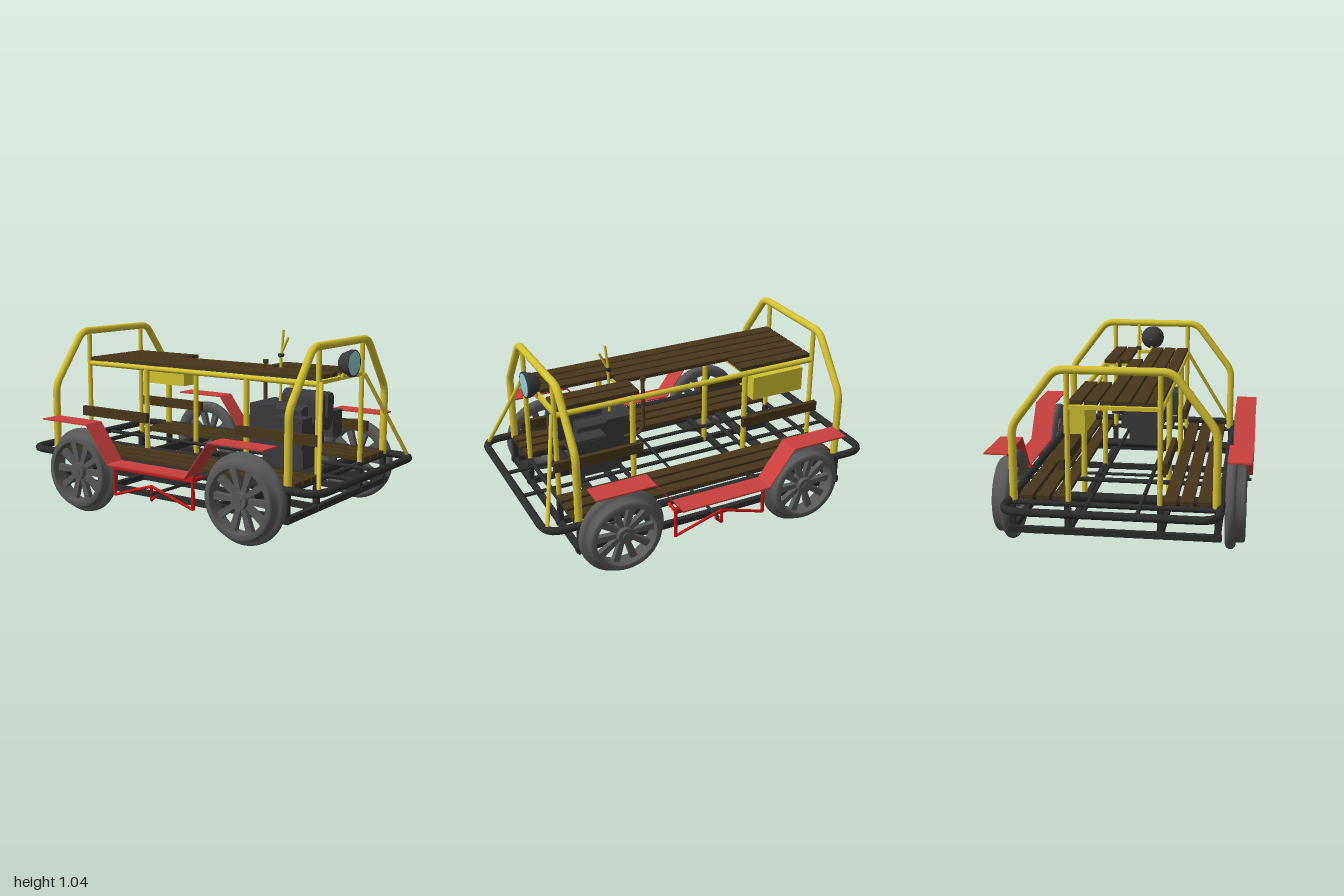
import * as THREE from 'three';

const mat = (color, side = THREE.FrontSide) => new THREE.MeshStandardMaterial({ color, side });
const yellow = mat(0xd4c230), black = mat(0x2c2c2c), wood = mat(0x46361a), red = mat(0xcc1414);
const fenderRed = mat(0xc8403c, THREE.DoubleSide), grey = mat(0x3a3a3c), steel = mat(0x585858);
const lensBlue = mat(0x8fcccc), rust = mat(0x4a3c22);
const V = (x, y, z) => new THREE.Vector3(x, y, z);

export function createModel() {
  const root = new THREE.Group();
  const add = (name, geo, m, parent = root) => {
    const mesh = new THREE.Mesh(geo, m);
    mesh.name = name;
    parent.add(mesh);
    return mesh;
  };
  // box given by its limits on each axis
  const box = (name, m, x0, x1, y0, y1, z0, z1) => {
    const g = new THREE.BoxGeometry(x1 - x0, y1 - y0, z1 - z0);
    add(name, g.translate((x0 + x1) / 2, (y0 + y1) / 2, (z0 + z1) / 2), m);
  };
  // round bar between two points
  const bar = (name, m, r, a, b) => {
    const d = b.clone().sub(a);
    const mesh = add(name, new THREE.CylinderGeometry(r, r, d.length(), 14), m);
    mesh.position.copy(a).add(b).multiplyScalar(0.5);
    mesh.quaternion.setFromUnitVectors(V(0, 1, 0), d.normalize());
  };
  // straight runs with softened corners
  const bentTube = (name, m, r, pts, bend, closed = false) => {
    const path = new THREE.CurvePath(), n = pts.length;
    const toward = (p, q) => p.clone().add(q.clone().sub(p).setLength(bend));
    let last = closed ? toward(pts[0], pts[1]) : pts[0];
    for (let i = 1; i < (closed ? n + 1 : n - 1); i++) {
      const p = pts[i % n], a = toward(p, pts[(i - 1) % n]), b = toward(p, pts[(i + 1) % n]);
      path.add(new THREE.LineCurve3(last, a));
      path.add(new THREE.QuadraticBezierCurve3(a, p, b));
      last = b;
    }
    if (!closed) path.add(new THREE.LineCurve3(last, pts[n - 1]));
    add(name, new THREE.TubeGeometry(path, 240, r, 14, closed), m);
  };

  // bumper ring and floor frame
  bentTube('bumperRing', black, 0.021, [V(-0.542, 0.31, -0.979), V(0.542, 0.31, -0.979),
    V(0.542, 0.31, 0.979), V(-0.542, 0.31, 0.979)], 0.1, true);
  for (const x of [-0.137, 0.132]) bar('floorRail', black, 0.011, V(x, 0.305, -0.98), V(x, 0.305, 0.98));
  for (const z of [-0.8, -0.38, 0.36, 0.8]) {
    bar('floorCrossbar', black, 0.013, V(-0.54, 0.3, z), V(0.54, 0.3, z));
    box('lowerCrossbar', black, -0.55, 0.55, 0.137, 0.17, z - 0.014, z + 0.014);
  }
  bar('brakeRod', black, 0.009, V(-0.68, 0.2, 0.045), V(0.65, 0.2, 0.045));
  for (const x of [-0.528, -0.238, 0.238, 0.528]) {
    box('lowerRail', black, x - 0.015, x + 0.015, 0.14, 0.172, -0.82, 0.82);
    for (const z of [-0.795, 0.795]) box('framePost', black, x - 0.016, x + 0.016, 0.15, 0.31, z - 0.013, z + 0.013);
  }

  // roll hoops with inner posts
  for (const z of [-0.79, 0.795]) {
    bentTube('rollHoop', yellow, 0.021, [V(-0.52, 0.31, z), V(-0.52, 0.7, z), V(-0.295, 0.995, z),
      V(0.295, 0.995, z), V(0.52, 0.7, z), V(0.52, 0.31, z)], 0.05);
    for (const x of [-0.235, 0.235]) bar('hoopPost', yellow, 0.014, V(x, 0.3, z), V(x, 0.995, z));
  }
  // bench frame
  for (const s of [-1, 1]) {
    bar('benchRail', yellow, 0.015, V(s * 0.235, 0.8, -0.79), V(s * 0.235, 0.8, 0.79));
    for (const z of [-0.345, 0.353]) bar('benchPost', yellow, 0.016, V(s * 0.235, 0.15, z), V(s * 0.235, 0.8, z));
    bar('frontBrace', yellow, 0.011, V(s * 0.235, 0.81, 0.81), V(s * 0.505, 0.32, 0.96));
    for (const [a, b] of [[-0.82, -0.32], [0.31, 0.825]]) {
      const x = s * 0.262;
      box('sideBoard', wood, x - 0.013, x + 0.013, 0.483, 0.54, a, b);
    }
  }
  for (const z of [-0.79, -0.345, 0.353, 0.79]) box('benchCrossbar', yellow, -0.235, 0.235, 0.797, 0.817, z - 0.012, z + 0.012);

  // bench planks, cut away in the middle on one side
  [-0.205, -0.125, -0.045, 0.035, 0.115, 0.195].forEach((x, i) => {
    const runs = i < 3 ? [[-0.78, 0.78]] : i === 3 ? [[-0.78, 0.36]] : [[-0.78, -0.32], [0.31, 0.78]];
    for (const [a, b] of runs) box('benchPlank', wood, x - 0.034, x + 0.034, 0.817, 0.838, a, b);
  });
  // floor planks
  for (const s of [-1, 1]) for (const d of [0.285, 0.37, 0.457]) {
    box('floorPlank', wood, s * d - 0.033, s * d + 0.033, 0.312, 0.333, -0.785, 0.815);
  }
  box('toolBox', yellow, 0.16, 0.272, 0.645, 0.782, -0.705, -0.38);

  // wheels with an inner flange, ten tapered spokes and a hub
  const rim = new THREE.LatheGeometry([[0.17, 0.05], [0.195, 0.052], [0.203, 0.042], [0.205, 0.005], [0.225, 0],
    [0.238, -0.012], [0.24, -0.03], [0.232, -0.046], [0.215, -0.052], [0.18, -0.05], [0.168, -0.03], [0.168, 0.03],
    [0.17, 0.05]].map(p => new THREE.Vector2(...p)).reverse(), 56).rotateZ(-Math.PI / 2);
  const spoke = new THREE.BoxGeometry(0.03, 0.15, 0.04);
  const sp = spoke.attributes.position;
  for (let i = 0; i < sp.count; i++) if (sp.getY(i) < 0) sp.setZ(i, sp.getZ(i) * 0.6);
  spoke.computeVertexNormals();
  spoke.translate(0, 0.1, 0);
  for (const z of [0.585, -0.515]) {
    bar('axle', black, 0.026, V(-0.58, 0.243, z), V(0.58, 0.243, z));
    for (const s of [-1, 1]) {
      const wheel = new THREE.Group();
      wheel.name = 'wheel';
      wheel.position.set(s * 0.611, 0.243, z);
      if (s < 0) wheel.rotation.y = Math.PI;
      add('wheelRim', rim, steel, wheel).material.side = THREE.DoubleSide;
      add('wheelHub', new THREE.CylinderGeometry(0.045, 0.05, 0.08, 28).rotateZ(-Math.PI / 2), steel, wheel);
      add('hubCap', new THREE.CylinderGeometry(0.022, 0.022, 0.095, 20).rotateZ(-Math.PI / 2), steel, wheel);
      for (let i = 0; i < 10; i++) add('spoke', spoke, steel, wheel).rotation.x = (i + 0.5) * Math.PI / 5;
      root.add(wheel);
    }
  }

  // folded fenders and running board steps
  const line = [[0.76, 0.532], [0.43, 0.532], [0.28, 0.33], [-0.25, 0.33], [-0.4, 0.532], [-0.73, 0.532]];
  const sheet = new THREE.Shape([...line, ...line.map(([z, y]) => [z, y - 0.008]).reverse()]
    .map(([z, y]) => new THREE.Vector2(-z, y)));
  for (const s of [-1, 1]) {
    const g = new THREE.ExtrudeGeometry(sheet, { depth: 0.125, bevelEnabled: false }).rotateY(Math.PI / 2);
    add('fender', g.translate(s > 0 ? 0.566 : -0.691, 0, 0), fenderRed);
    const x = s * 0.64, peak = V(x, 0.235, 0.02);
    box('stepRail', red, x - 0.011, x + 0.011, 0.297, 0.325, -0.25, 0.305);
    for (const z of [-0.24, 0.297]) {
      bar('stepPost', red, 0.01, V(x, 0.15, z), V(x, 0.31, z));
      bar('stepArm', red, 0.01, V(s * 0.54, 0.31, z), V(x, 0.31, z));
      bar('stepBrace', red, 0.008, V(x, 0.152, z), peak);
    }
    bar('stepHanger', red, 0.008, peak, V(x, 0.158, 0.018));
    bar('stepPeg', red, 0.008, V(x, 0.158, 0.018), V(x, 0.195, 0.055));
  }

  // engine
  const block = new THREE.Shape([[-0.125, 0.415], [0.125, 0.415], [0.125, 0.63], [0.105, 0.645], [0.06, 0.645],
    [0.045, 0.68], [-0.045, 0.68], [-0.06, 0.645], [-0.105, 0.645], [-0.125, 0.63]].map(p => new THREE.Vector2(...p)));
  add('engineBlock', new THREE.ExtrudeGeometry(block, { depth: 0.17, bevelEnabled: false }).translate(0, 0, 0.46), grey);
  box('gearbox', grey, -0.125, 0.125, 0.415, 0.645, 0.3, 0.46);
  box('engineBase', grey, -0.085, 0.085, 0.3, 0.42, 0.36, 0.62);
  for (const s of [-1, 1]) {
    const x = s * 0.165;
    box('cylinderBank', grey, x - 0.05, x + 0.05, 0.455, 0.603, 0.5, 0.69);
    box('cylinderHead', grey, s * 0.2 - 0.018, s * 0.2 + 0.018, 0.465, 0.593, 0.515, 0.675);
  }
  const pill = (r, y0, y1) => new THREE.Shape().absarc(0, y1 - r, r, 0, Math.PI).absarc(0, y0 + r, r, Math.PI, Math.PI * 2);
  const pillGeo = (r, y0, y1, z0, z1) =>
    new THREE.ExtrudeGeometry(pill(r, y0, y1), { depth: z1 - z0, bevelEnabled: false, curveSegments: 20 }).translate(0, 0, z0);
  add('blowerHousing', pillGeo(0.055, 0.52, 0.728, 0.46, 0.72), grey);
  add('blowerCover', pillGeo(0.032, 0.575, 0.725, 0.72, 0.737), grey);

  // exhaust
  bentTube('exhaustPipe', rust, 0.011, [V(0.125, 0.52, 0.36), V(0.125, 0.52, 0.24), V(0.125, 0.85, 0.24)], 0.06);
  bar('exhaustCap', rust, 0.015, V(0.125, 0.835, 0.24), V(0.125, 0.857, 0.24));

  // control levers
  bar('leverColumn', yellow, 0.008, V(0.03, 0.62, 0.402), V(0.03, 0.9, 0.402));
  bar('leverPivot', black, 0.012, V(0.015, 0.9, 0.402), V(0.045, 0.9, 0.402));
  bar('throttleLever', yellow, 0.007, V(0.035, 0.9, 0.402), V(0.03, 1.04, 0.416));
  bar('brakeLever', yellow, 0.007, V(0.025, 0.9, 0.402), V(0.025, 1.0, 0.45));

  // headlamp
  const shell = new THREE.LatheGeometry([[0.001, 0.785], [0.03, 0.79], [0.05, 0.805], [0.062, 0.83], [0.065, 0.85],
    [0.072, 0.852], [0.072, 0.872], [0.064, 0.872]].map(p => new THREE.Vector2(...p)), 36).rotateX(Math.PI / 2);
  add('headlampShell', shell, grey).position.y = 0.89;
  const lens = new THREE.SphereGeometry(0.066, 36, 8, 0, Math.PI * 2, 0, Math.PI / 2).scale(1, 0.12, 1).rotateX(Math.PI / 2);
  add('headlampLens', lens, lensBlue).position.set(0, 0.89, 0.869);
  bar('headlampStem', yellow, 0.01, V(0, 0.8, 0.8), V(0, 0.84, 0.815));
  return root;
}
